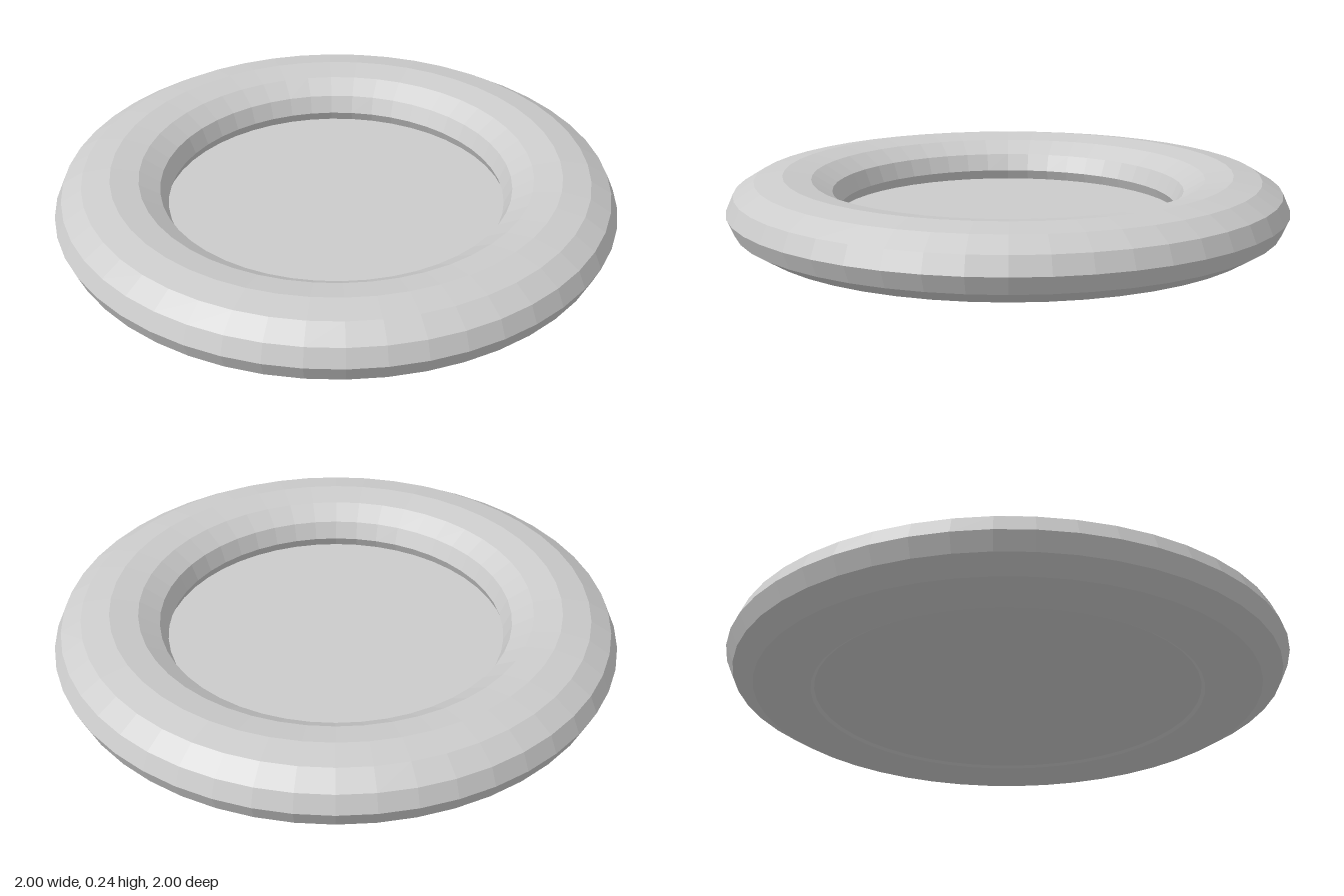
import * as THREE from 'three';

const HALF_HEIGHT = 0.122;
const SEGMENTS = 48;

export function createModel() {
  const group = new THREE.Group();
  const material = new THREE.MeshStandardMaterial({ color: 0xcccccc, flatShading: true });

  // Faceted ring, flattened vertically
  const ringGeometry = new THREE.TorusGeometry(0.8, 0.2, 12, SEGMENTS);
  ringGeometry.rotateX(-Math.PI / 2);
  ringGeometry.scale(1, HALF_HEIGHT / 0.2, 1);
  const ring = new THREE.Mesh(ringGeometry, material);
  ring.name = 'ring';
  ring.position.y = HALF_HEIGHT;
  group.add(ring);

  // Floor disc, its edge buried in the ring
  const bottom = 0.024, top = 0.086;
  const floor = new THREE.Mesh(
    new THREE.CylinderGeometry(0.7, 0.7, top - bottom, SEGMENTS),
    material
  );
  floor.name = 'floorDisc';
  floor.position.y = (bottom + top) / 2;
  group.add(floor);

  return group;
}
